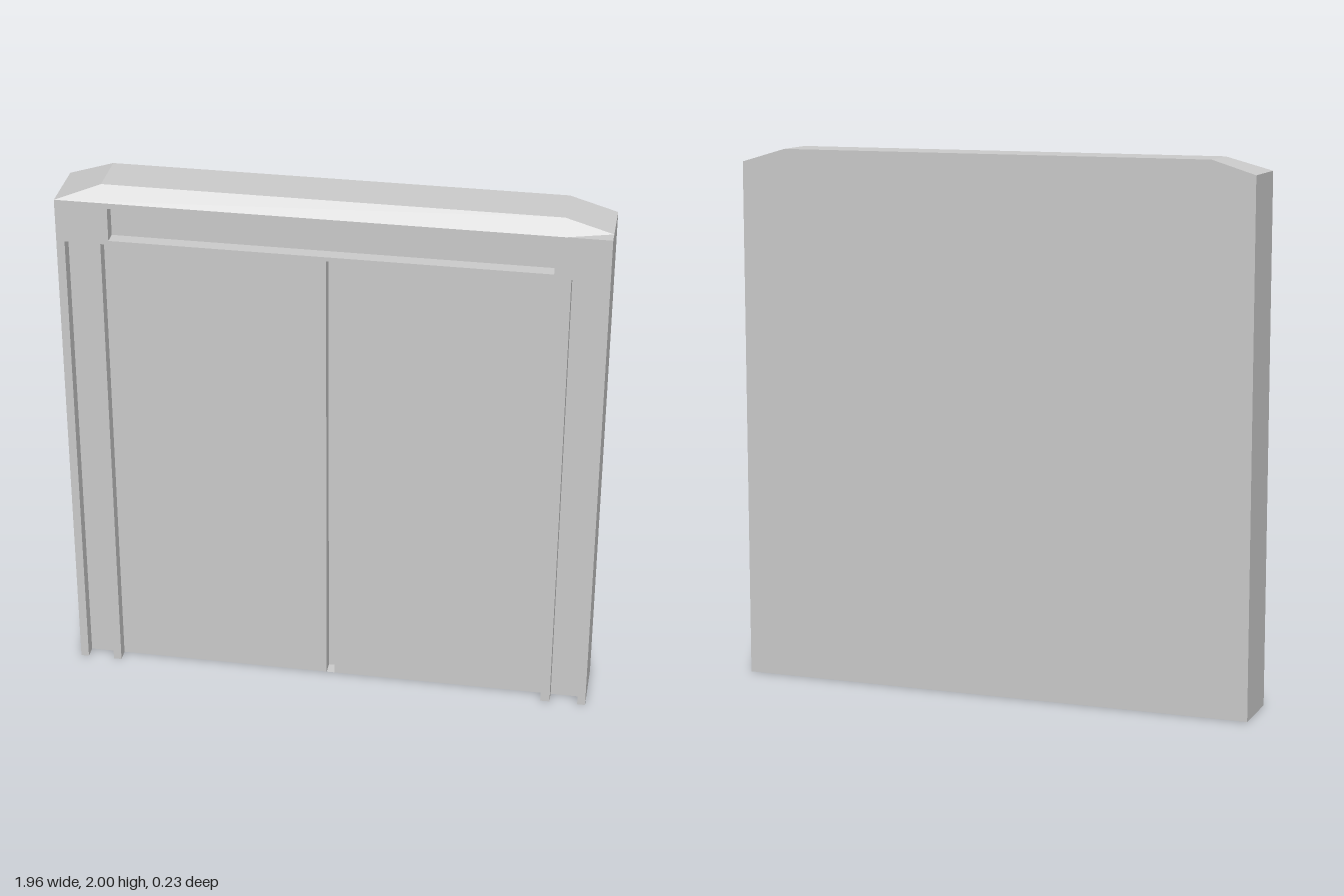
import * as THREE from 'three';
import { ConvexGeometry } from 'three/addons/geometries/ConvexGeometry.js';

const BACK = -0.115, FACE = 0.065, FRONT = 0.115; // depth planes
const HALF = 0.98, LINTEL = 1.79, EAVE = 1.95, TOP = 2;
const DOOR_L = -0.82, DOOR_R = 0.81; // door opening
const SEAM_L = -0.02, SEAM_R = 0.01, SEAM_Z = 0.015; // groove between leaves

export function createModel() {
  const model = new THREE.Group();
  const solid = new THREE.MeshStandardMaterial({ color: 0xcccccc, flatShading: true });
  const sheet = new THREE.MeshStandardMaterial({ color: 0xcccccc, flatShading: true, side: THREE.DoubleSide });

  const add = (name, geometry, material = solid) => {
    const mesh = new THREE.Mesh(geometry, material);
    mesh.name = name;
    model.add(mesh);
    return mesh;
  };
  const box = (name, x0, x1, y0, y1, z0, z1) =>
    add(name, new THREE.BoxGeometry(x1 - x0, y1 - y0, z1 - z0))
      .position.set((x0 + x1) / 2, (y0 + y1) / 2, (z0 + z1) / 2);
  // Upright sheet between two plan points
  const wall = (name, x0, z0, x1, z1, height) => {
    const mesh = add(name, new THREE.PlaneGeometry(Math.hypot(x1 - x0, z1 - z0), height), sheet);
    mesh.position.set((x0 + x1) / 2, height / 2, (z0 + z1) / 2);
    mesh.rotation.y = -Math.atan2(z1 - z0, x1 - x0);
  };

  // Front frame: one outline with open-bottomed pillar slots and a sign recess
  const outline = [
    [-HALF, 0], [-0.95, 0], [-0.95, LINTEL], [-0.85, LINTEL], [-0.85, 0], [DOOR_L, 0],
    [DOOR_L, LINTEL], [DOOR_R, LINTEL], [DOOR_R, 0], [0.845, 0], [0.845, LINTEL],
    [0.95, LINTEL], [0.95, 0], [HALF, 0], [HALF, EAVE], [-HALF, EAVE],
  ];
  const frame = new THREE.Shape(outline.map(([x, y]) => new THREE.Vector2(x, y)));
  const recess = [[-0.79, 1.805], [-0.79, 1.93], [0.785, 1.93], [0.785, 1.805]];
  frame.holes.push(new THREE.Path(recess.map(([x, y]) => new THREE.Vector2(x, y))));
  add('frontFrame', new THREE.ExtrudeGeometry(frame, { depth: FRONT - FACE, bevelEnabled: false }))
    .position.z = FACE;

  // Pillars and header behind the frame
  box('rightPillar', -HALF, DOOR_L, 0, EAVE, BACK, FACE);
  box('leftPillar', DOOR_R, HALF, 0, EAVE, BACK, FACE);
  box('header', DOOR_L, DOOR_R, LINTEL, EAVE, BACK, FACE);

  // Hollow door bay: back panel, two leaves and the groove between them
  wall('backPanel', DOOR_L, BACK, DOOR_R, BACK, LINTEL);
  wall('rightDoorLeaf', DOOR_L, FACE, SEAM_L, FACE, LINTEL);
  wall('leftDoorLeaf', SEAM_R, FACE, DOOR_R, FACE, LINTEL);
  wall('seamRightSide', SEAM_L, FACE, SEAM_L, SEAM_Z, LINTEL);
  wall('seamBack', SEAM_L, SEAM_Z, SEAM_R, SEAM_Z, LINTEL);
  wall('seamLeftSide', SEAM_R, SEAM_Z, SEAM_R, FACE, LINTEL);
  const sill = add('seamSill', new THREE.PlaneGeometry(SEAM_R - SEAM_L, FACE - SEAM_Z), sheet);
  sill.rotation.x = -Math.PI / 2;
  sill.position.set((SEAM_L + SEAM_R) / 2, 0, (FACE + SEAM_Z) / 2);

  // Roof cap: sloped ends and front, with the left front corner cut off
  const cap = [
    [-HALF, EAVE, FRONT], [0.82, EAVE, FRONT], [HALF, EAVE, FACE],
    [HALF, EAVE, BACK], [-HALF, EAVE, BACK],
    [DOOR_L, TOP, FACE], [DOOR_R, TOP, FACE], [DOOR_R, TOP, BACK], [DOOR_L, TOP, BACK],
  ];
  add('roofCap', new ConvexGeometry(cap.map((p) => new THREE.Vector3(...p))));

  return model;
}
